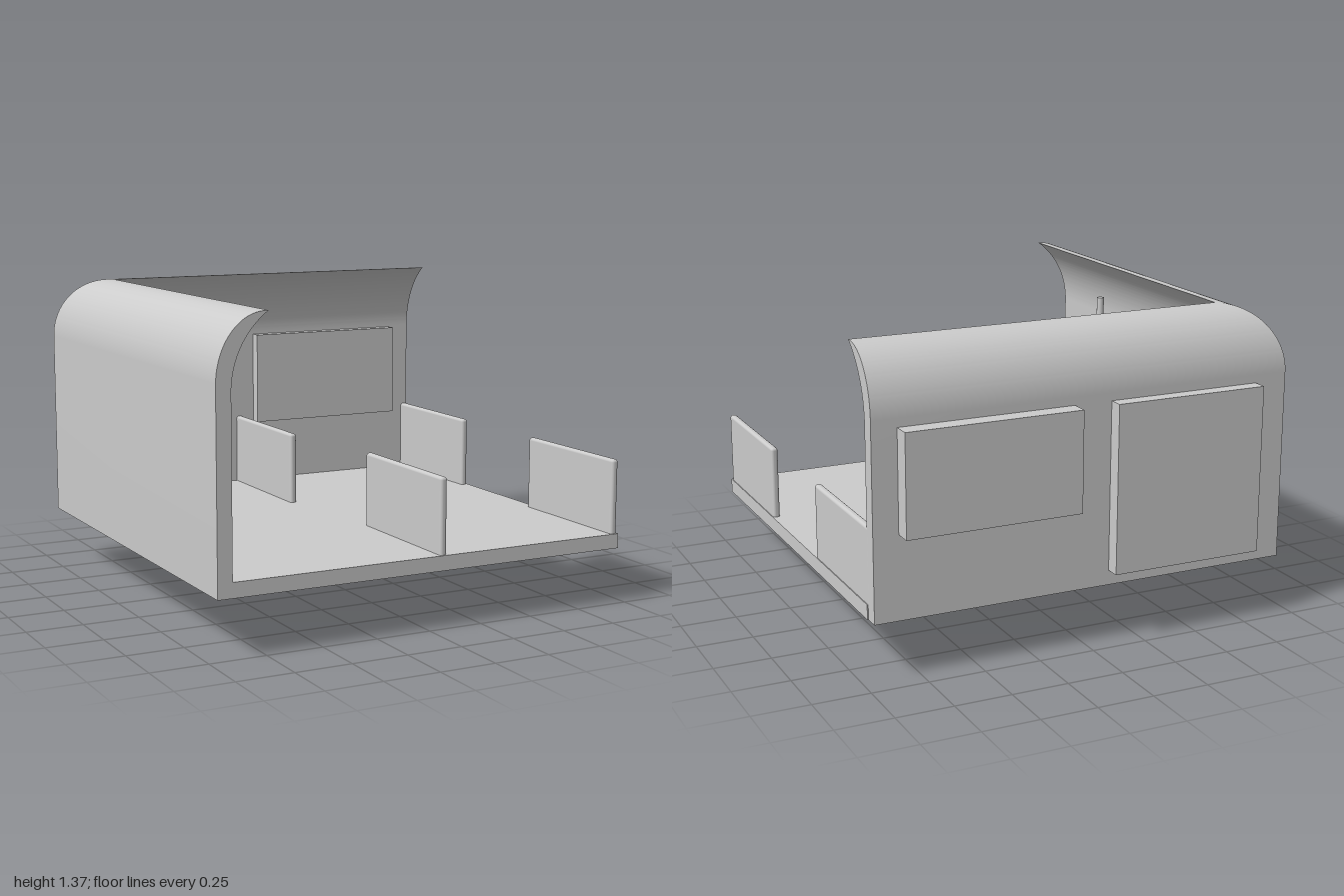
import * as THREE from 'three';
import { toCreasedNormals } from 'three/addons/utils/BufferGeometryUtils.js';
import { RoundedBoxGeometry } from 'three/addons/geometries/RoundedBoxGeometry.js';

const material = new THREE.MeshStandardMaterial({ color: 0xcccccc });
const LEFT = -0.96, RIGHT = 0.95, BACK = -0.92, FRONT = 1;
const BASE = 0.25, FLOOR = 0.315, TOP = 1.37;

// Wall section: x is the distance inward from the outer face, y is height
function wallShape() {
  const shape = new THREE.Shape();
  shape.moveTo(0, BASE);
  shape.lineTo(0.065, BASE);
  shape.lineTo(0.065, 1.06);
  shape.absarc(0.445, 1.06, 0.38, Math.PI, Math.PI - Math.asin(0.31 / 0.38), true);
  shape.lineTo(0.215, TOP);
  shape.absellipse(0.215, 1.09, 0.215, 0.28, Math.PI / 2, Math.PI, false);
  shape.closePath();
  return shape;
}

// Extrudes the wall section, then places each vertex by a rule (inset, far end?) -> [x, z]
function wallGeometry(place) {
  const geometry = new THREE.ExtrudeGeometry(wallShape(), { depth: 1, bevelEnabled: false, curveSegments: 24 });
  const p = geometry.attributes.position;
  for (let i = 0; i < p.count; i++) {
    const [x, z] = place(p.getX(i), p.getZ(i) > 0.5);
    p.setXYZ(i, x, p.getY(i), z);
  }
  return toCreasedNormals(geometry, 0.5);
}

export function createModel() {
  const group = new THREE.Group();
  const add = (name, geometry, x = 0, y = 0, z = 0) => {
    const mesh = new THREE.Mesh(geometry, material);
    mesh.name = name;
    mesh.position.set(x, y, z);
    group.add(mesh);
  };
  const addBox = (name, [x0, x1], [y0, y1], [z0, z1], radius = 0) => {
    const size = [x1 - x0, y1 - y0, z1 - z0];
    const geometry = radius ? new RoundedBoxGeometry(...size, 4, radius) : new THREE.BoxGeometry(...size);
    add(name, geometry, (x0 + x1) / 2, (y0 + y1) / 2, (z0 + z1) / 2);
  };

  // Floor slab and the two curved walls, mitred at the corner
  addBox('floor', [LEFT + 0.065, 0.955], [BASE, FLOOR], [BACK + 0.065, FRONT]);
  add('sideWall', wallGeometry((o, far) => [LEFT + o, far ? FRONT : BACK + o]));
  add('backWall', wallGeometry((o, far) => [far ? LEFT + o : RIGHT, BACK + o]));

  // Panels set through or against the walls
  addBox('backDoor', [-0.81, -0.11], [FLOOR, 1.055], [-0.985, -0.81]);
  addBox('backWindow', [0.06, 0.84], [0.615, 1.055], [-1, -0.805]);
  addBox('sideDoor', [-0.92, -0.868], [FLOOR, 1.055], [-0.04, 0.29]);

  // Low partitions with rounded edges
  for (const [x, z0, z1] of [[-0.017, -0.87, -0.24], [0.935, -0.87, -0.24], [0.067, 0.345, 0.993], [0.935, 0.345, 0.993]]) {
    addBox('partition', [x - 0.016, x + 0.016], [0.29, 0.645], [z0, z1], 0.013);
  }

  // Pole passing through the floor
  add('pole', new THREE.CylinderGeometry(0.016, 0.016, 1.29, 24), -0.532, 0.645, -0.041);
  return group;
}
